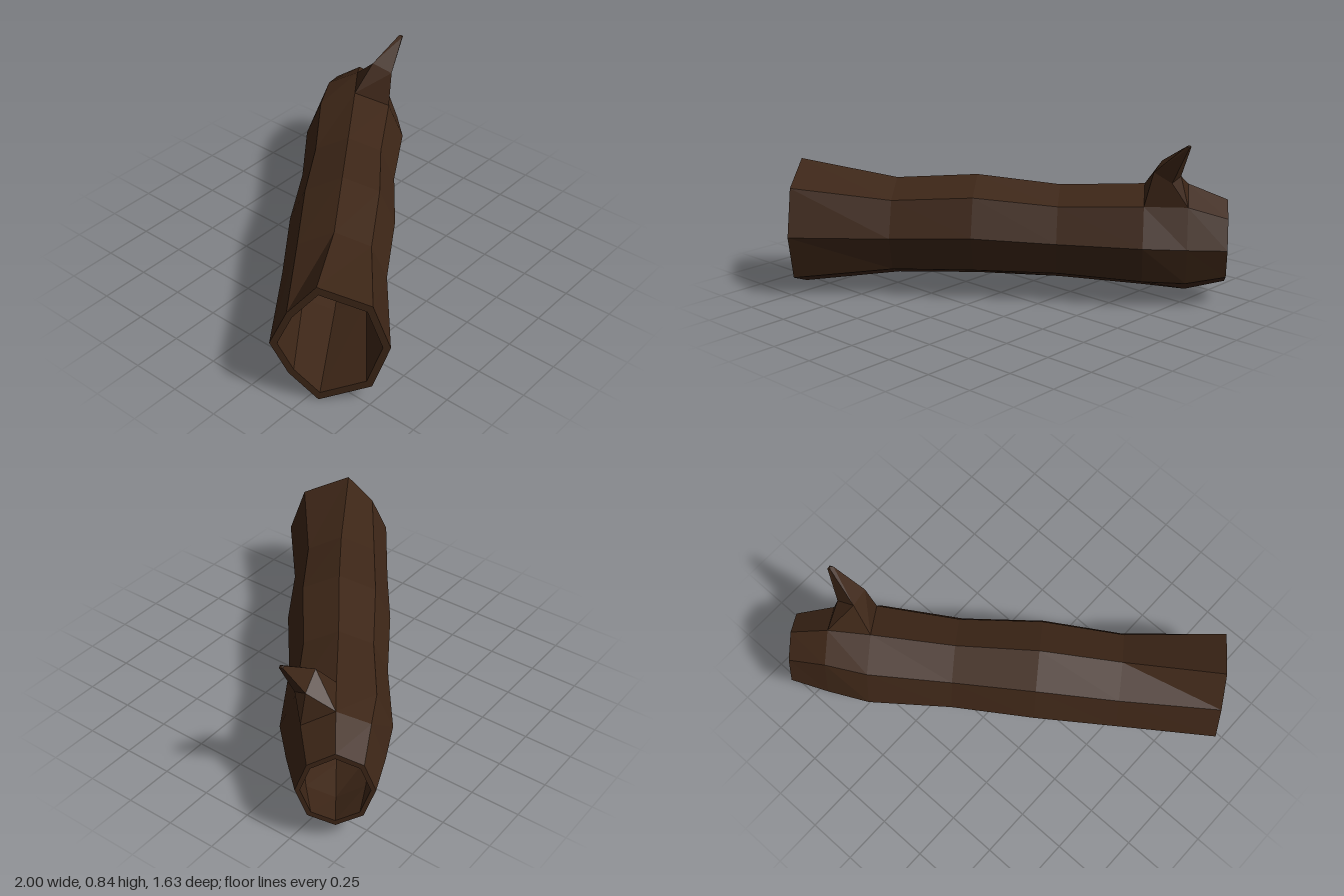
import * as THREE from 'three';

const bark = new THREE.MeshStandardMaterial({ color: 0x3d2617, flatShading: true });

// Skin a list of rings (arrays of Vector3) with quads; wrap joins last ring to first
function loft(rings, wrap) {
  const n = rings[0].length;
  const pos = [];
  const count = wrap ? rings.length : rings.length - 1;
  for (let i = 0; i < count; i++) {
    const a = rings[i], b = rings[(i + 1) % rings.length];
    for (let k = 0; k < n; k++) {
      const m = (k + 1) % n;
      for (const p of [a[k], b[k], a[m], a[m], b[k], b[m]]) pos.push(p.x, p.y, p.z);
    }
  }
  const g = new THREE.BufferGeometry();
  g.setAttribute('position', new THREE.Float32BufferAttribute(pos, 3));
  g.computeVertexNormals();
  return g;
}

// Log frame: a runs along the trunk, u across it (horizontal)
const DX = 0.806, DZ = 0.592;
const place = (a, u, y) => new THREE.Vector3(DX * a + DZ * u, y, -DZ * a + DX * u);

// Trunk sections: along, centre u, half width, top, upper front, upper back, middle, lower front, lower back, bottom, top shift
const sections = [
  [-1.03, -0.02, 0.270, 0.660, 0.565, 0.51, 0.333, 0.10, 0.16, 0.005, -0.055],
  [-0.53, -0.037, 0.248, 0.585, 0.51, 0.505, 0.333, 0.155, 0.16, 0.085, 0],
  [-0.122, -0.028, 0.261, 0.615, 0.54, 0.53, 0.355, 0.17, 0.17, 0.10, 0],
  [0.293, -0.027, 0.240, 0.575, 0.505, 0.50, 0.335, 0.165, 0.165, 0.095, 0],
  [0.71, -0.019, 0.262, 0.595, 0.525, 0.525, 0.335, 0.145, 0.145, 0.072, 0],
  [0.922, -0.018, 0.224, 0.600, 0.52, 0.53, 0.325, 0.135, 0.14, 0.055, 0],
  [1.117, -0.017, 0.179, 0.525, 0.46, 0.46, 0.315, 0.165, 0.165, 0.105, 0],
];

function trunkRing([a, c, w, top, uf, ub, mid, lf, lb, bottom, shift], scale) {
  const s = 0.7 * w;
  return [[w, mid], [s, uf], [shift, top], [-s, ub], [-w, mid], [-s, lb], [shift, bottom], [s, lf]]
    .map(([u, y]) => place(a, c + u * scale, mid + (y - mid) * scale));
}

export function createModel() {
  const model = new THREE.Group();
  model.name = 'hollowLog';

  // Hollow trunk: bark outside, end rims and inner wall in one closed loop
  const outer = sections.map((s) => trunkRing(s, 1));
  const inner = sections.map((s) => trunkRing(s, 0.87)).reverse();
  const trunk = new THREE.Mesh(loft([...outer, ...inner], true), bark);
  trunk.name = 'trunk';
  model.add(trunk);

  // Broken branch stub growing from one upper facet of the trunk
  const V = (x, y, z) => new THREE.Vector3(x, y, z);
  const base = [outer[4][2], outer[5][2], outer[5][1], outer[4][1]];
  const bend = [V(0.68, 0.735, -0.41), V(0.78, 0.67, -0.43), V(0.775, 0.645, -0.365), V(0.71, 0.70, -0.305)];
  const end = [V(0.853, 0.842, -0.375), V(0.868, 0.838, -0.38), V(0.872, 0.836, -0.36), V(0.855, 0.838, -0.353)];
  const tip = end.map(() => V(0.866, 0.846, -0.367));
  const branch = new THREE.Mesh(loft([base, bend, end, tip], false), bark);
  branch.name = 'branchStub';
  model.add(branch);

  return model;
}
